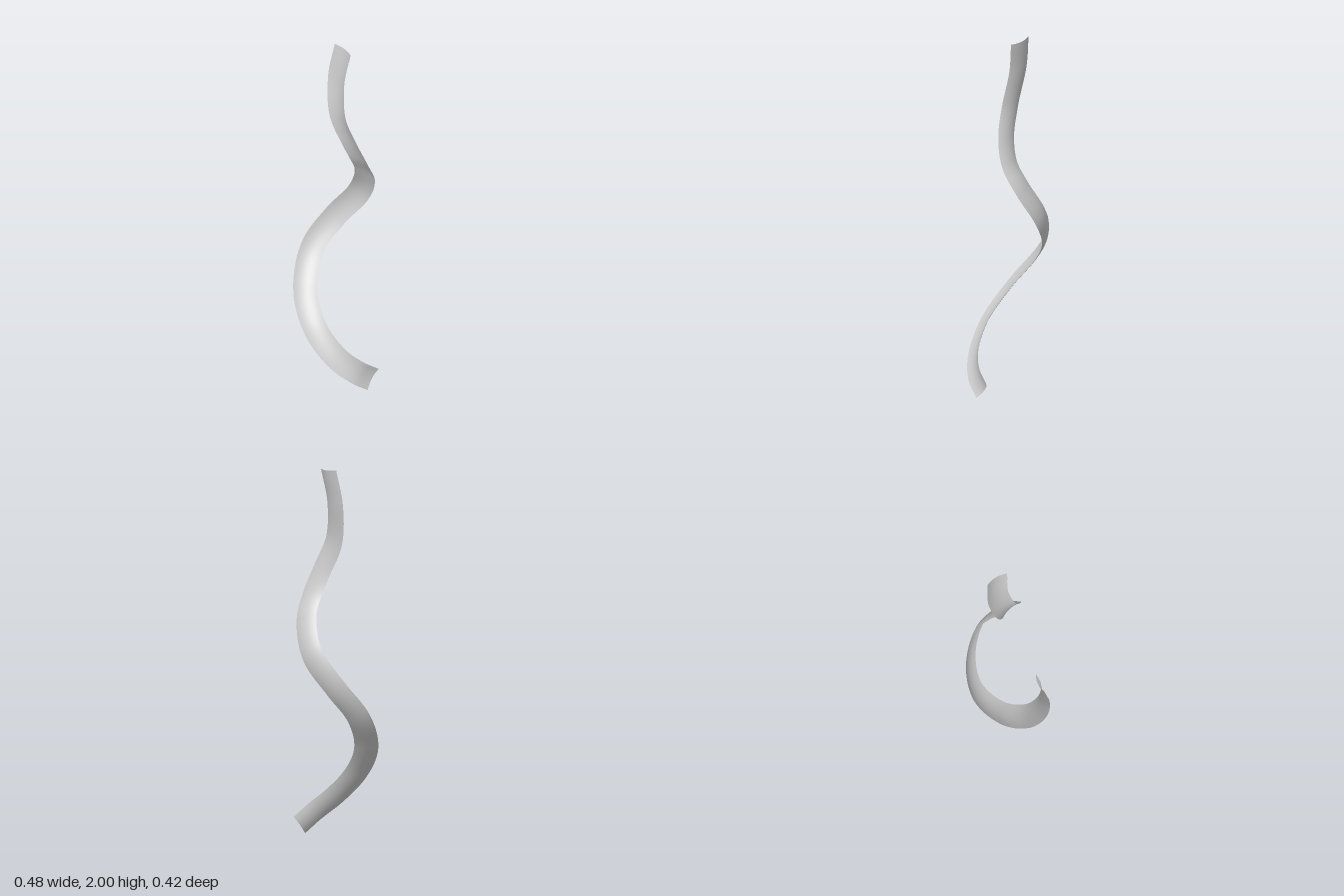
import * as THREE from 'three';

const WIDTH = 0.126, BULGE = 0.014, ROWS = 120, COLS = 10;

// Centre line: a spiral that tightens as it climbs
const path = new THREE.CatmullRomCurve3([
  [0.24, 0.05, -0.038], [0.212, 0.12, 0.05], [0.143, 0.2, 0.12], [0.018, 0.335, 0.16],
  [-0.115, 0.5, 0.118], [-0.19, 0.69, -0.003], [-0.147, 0.85, -0.12], [-0.04, 1.02, -0.188],
  [0.055, 1.2, -0.148], [0.08, 1.32, -0.085], [0.056, 1.45, -0.035], [0, 1.6, -0.006],
  [-0.036, 1.81, -0.029], [-0.02, 1.993, -0.06],
].map((p) => new THREE.Vector3(...p)));

// Sweep a shallow arc along the path, carrying its width direction without twist
function sweepRibbon() {
  const geo = new THREE.PlaneGeometry(1, 1, COLS, ROWS);
  const pos = geo.attributes.position;
  const across = new THREE.Vector3(0, 0.8, -0.6);
  const normal = new THREE.Vector3(), p = new THREE.Vector3();
  for (let j = 0; j <= ROWS; j++) {
    const centre = path.getPointAt(j / ROWS);
    const tangent = path.getTangentAt(j / ROWS);
    across.addScaledVector(tangent, -across.dot(tangent)).normalize();
    normal.crossVectors(tangent, across);
    for (let i = 0; i <= COLS; i++) {
      const s = (2 * i) / COLS - 1;
      p.copy(centre)
        .addScaledVector(across, (s * WIDTH) / 2)
        .addScaledVector(normal, BULGE * (1 - s * s));
      pos.setXYZ(j * (COLS + 1) + i, p.x, p.y, p.z);
    }
  }
  geo.computeVertexNormals();
  return geo;
}

export function createModel() {
  const group = new THREE.Group();
  const material = new THREE.MeshStandardMaterial({ color: 0xcccccc, side: THREE.DoubleSide });
  const ribbon = new THREE.Mesh(sweepRibbon(), material);
  ribbon.name = 'spiralRibbon';
  group.add(ribbon);
  return group;
}
